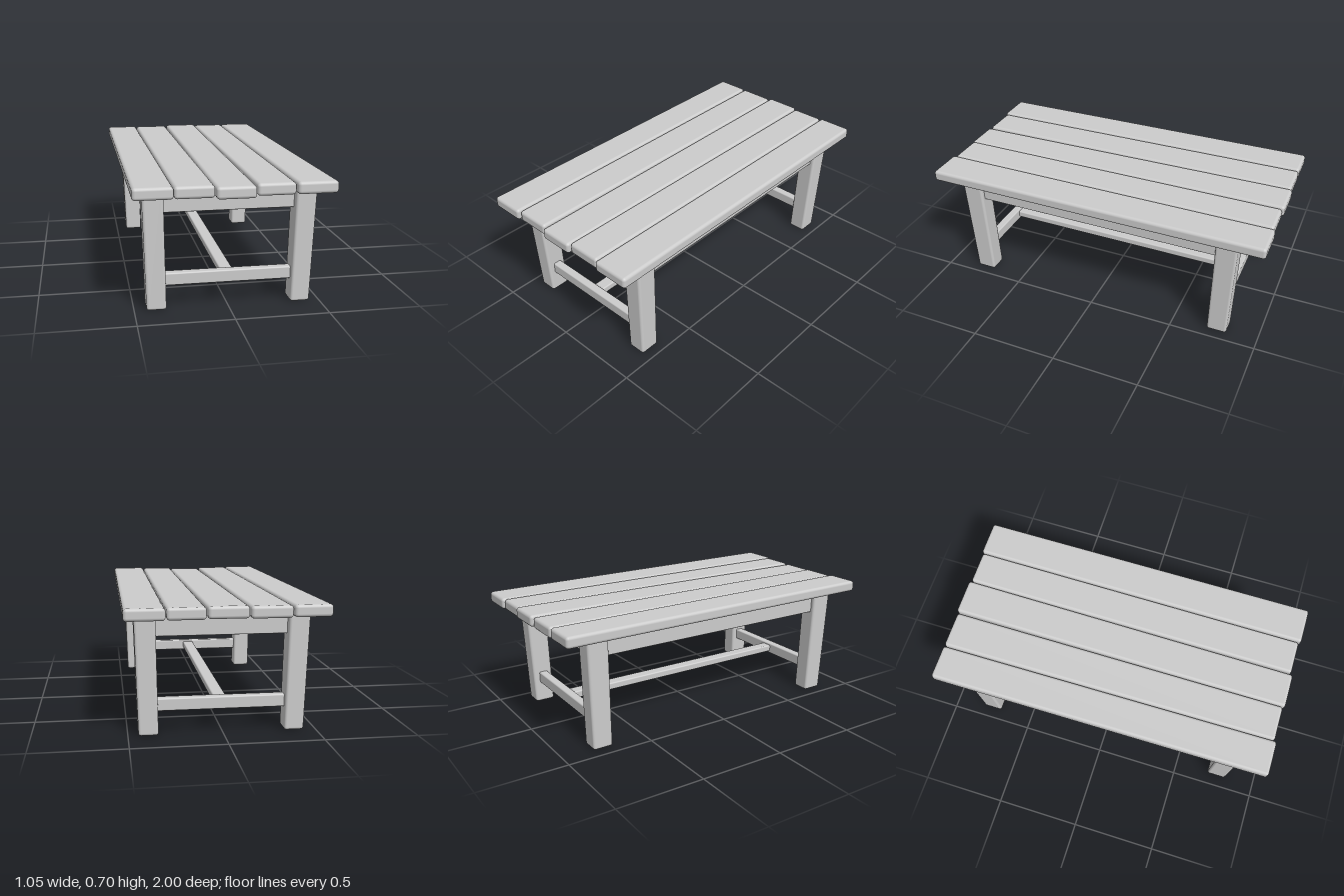
import * as THREE from 'three';
import { RoundedBoxGeometry } from 'three/addons/geometries/RoundedBoxGeometry.js';

const material = new THREE.MeshStandardMaterial({ color: 0xcccccc });

// Rounded timber spanning min..max corners
function timber(name, min, max, radius = 0.01) {
  const size = max.map((v, i) => v - min[i]);
  const geometry = new RoundedBoxGeometry(...size, 3, radius);
  geometry.translate(...max.map((v, i) => (v + min[i]) / 2));
  const mesh = new THREE.Mesh(geometry, material);
  mesh.name = name;
  return mesh;
}

// Moves every vertex of a mesh by a rule
function warp(mesh, rule) {
  const pos = mesh.geometry.attributes.position;
  const v = new THREE.Vector3();
  for (let i = 0; i < pos.count; i++) {
    rule(v.fromBufferAttribute(pos, i));
    pos.setXYZ(i, v.x, v.y, v.z);
  }
  return mesh;
}

export function createModel() {
  const group = new THREE.Group();
  group.name = 'plankTable';
  const lerp = THREE.MathUtils.lerp;

  // Table top: five slightly uneven planks, [back x range, front x range, back z, front z, back lift, front lift]
  const top = new THREE.Group();
  top.name = 'tableTop';
  const planks = [
    [[-0.527, -0.330], [-0.512, -0.309], -0.99, 0.995, 0.002, 0.003],
    [[-0.324, -0.110], [-0.306, -0.103], -0.99, 0.982, 0, 0],
    [[-0.102, 0.106], [-0.098, 0.104], -1, 0.995, 0.004, -0.007],
    [[0.111, 0.308], [0.109, 0.307], -0.99, 0.982, 0, 0],
    [[0.313, 0.519], [0.311, 0.523], -1, 0.995, 0, 0.003],
  ];
  planks.forEach(([back, front, z0, z1, lift0, lift1], i) => {
    const plank = timber(`plank${i + 1}`, [0, 0.637, z0], [0.2, 0.701, z1], 0.017);
    top.add(warp(plank, (v) => {
      const t = (v.z - z0) / (z1 - z0);
      const u = v.x / 0.2;
      v.x = lerp(lerp(back[0], back[1], u), lerp(front[0], front[1], u), t);
      v.y += lerp(lift0, lift1, t);
    }));
  });
  group.add(top);

  const base = new THREE.Group();
  base.name = 'base';
  base.position.x = 0.005;
  for (const sz of [1, -1]) {
    const end = sz > 0 ? 'front' : 'back';
    // Splayed legs, a little wider at the top
    for (const sx of [1, -1]) {
      const cx = sx * 0.3875, cz = sz * 0.7625;
      const leg = timber(`${end}${sx > 0 ? 'Left' : 'Right'}Leg`,
        [cx - 0.0525, 0.003, cz - 0.0575], [cx + 0.0525, 0.642, cz + 0.0575], 0.014);
      base.add(warp(leg, (v) => {
        const t = v.y / 0.64;
        v.x = cx + (v.x - cx) * (1 + 0.06 * t) + sx * 0.015 * t;
        v.z = cz + (v.z - cz) * (1 + 0.08 * t) + sz * 0.02 * t;
      }));
    }
    // End apron under the top and end stretcher near the ground
    base.add(timber(`${end}Apron`, [-0.36, 0.525, sz * 0.768 - 0.03], [0.36, 0.642, sz * 0.768 + 0.03], 0.006));
    base.add(timber(`${end}Stretcher`, [-0.35, 0.126, sz * 0.765 - 0.025], [0.35, 0.194, sz * 0.765 + 0.025], 0.008));
  }

  // Long side aprons
  for (const sx of [1, -1]) {
    base.add(timber(sx > 0 ? 'leftApron' : 'rightApron',
      [sx * 0.4 - 0.03, 0.525, -0.74], [sx * 0.4 + 0.03, 0.642, 0.74], 0.006));
  }

  // Long stretcher joining the two end stretchers
  base.add(timber('longStretcher', [-0.035, 0.14, -0.765], [0.035, 0.182, 0.765], 0.008));
  group.add(base);

  return group;
}
